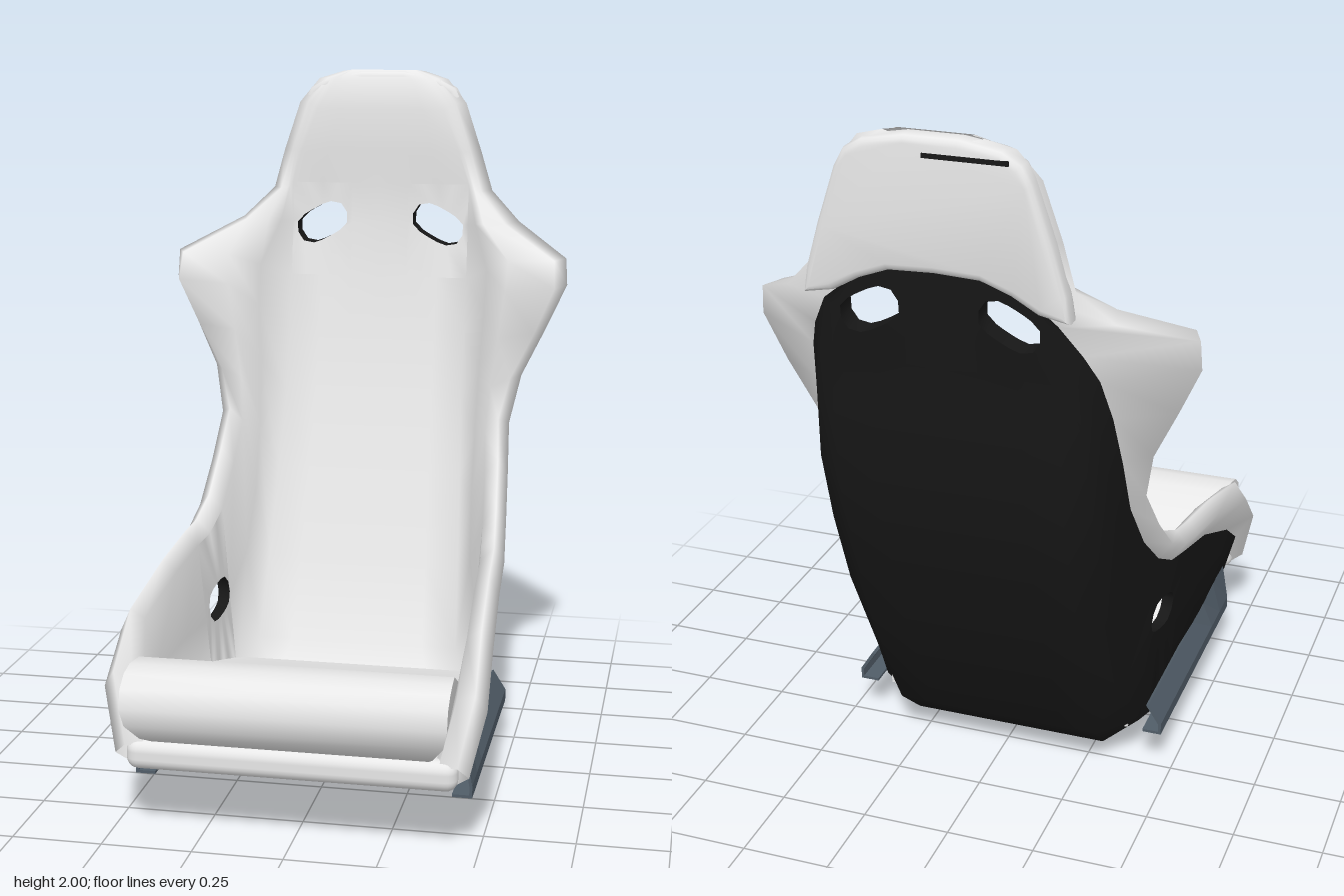
import * as THREE from 'three';
import { toCreasedNormals } from 'three/addons/utils/BufferGeometryUtils.js';
import { RoundedBoxGeometry } from 'three/addons/geometries/RoundedBoxGeometry.js';

const V = (x, y, z) => new THREE.Vector3(x, y, z);
const mix = (a, b, t) => a.clone().lerp(b, t);
const withX = (p, x) => p.setX(x);
const flip = (p) => V(-p.x, p.y, p.z);

// Stations run from the front lip, under the seat, up the back and over the headrest (x, y, z on the +x side)
const INNER = [ // corner between the inner floor or back and the side wall
  [.37, .25, .63], [.39, .25, .58], [.39, .25, .46], [.385, .21, .22], [.375, .17, .02],
  [.37, .15, -.10], [.36, .15, -.20], [.31, .26, -.29], [.30, .50, -.39], [.29, .76, -.48],
  [.28, 1.0, -.56], [.28, 1.2, -.61], [.28, 1.36, -.645], [.28, 1.525, -.67], [.28, 1.65, -.675],
  [.25, 1.75, -.668], [.2, 1.88, -.67], [.15, 1.97, -.69], [.1, 2, -.73]];
const RIM = [ // crest of the padded rim, shoulder wing and headrest edge
  [.45, .26, .68], [.49, .45, .64], [.485, .58, .49], [.47, .645, .22], [.46, .675, .02],
  [.45, .69, -.08], [.44, .74, -.19], [.43, .86, -.30], [.42, .97, -.375], [.45, 1.09, -.40],
  [.52, 1.23, -.40], [.58, 1.37, -.385], [.575, 1.45, -.42], [.41, 1.54, -.57], [.32, 1.63, -.675],
  [.285, 1.75, -.685], [.235, 1.9, -.69], [.175, 1.975, -.71], [.1, 2, -.74]];
const BORDER = [ // line where the padding meets the shell or the headrest back
  [.42, .19, .65], [.47, .33, .60], [.47, .42, .47], [.46, .525, .22], [.45, .57, .02],
  [.44, .59, -.08], [.43, .65, -.19], [.42, .76, -.31], [.42, .93, -.45], [.42, 1.1, -.53],
  [.41, 1.25, -.59], [.39, 1.37, -.64], [.36, 1.45, -.685], [.31, 1.54, -.73], [.2, 1.63, -.745],
  [.285, 1.75, -.75], [.235, 1.9, -.75], [.175, 1.97, -.75], [.1, 1.99, -.75]];
const OUTER = [ // lower and rear corner of the shell
  [.36, .20, .63], [.36, .20, .57], [.35, .17, .45], [.33, .11, .22], [.30, .04, .02],
  [.28, 0, -.10], [.29, .04, -.24], [.30, .14, -.35], [.31, .50, -.52], [.31, .76, -.615],
  [.31, 1.0, -.69], [.31, 1.22, -.705], [.30, 1.38, -.72], [.28, 1.525, -.735], [.19, 1.66, -.74]];
const RIM_WIDTH = [.05, .05, .04, .04, .04, .04, .04, .04, .04, .06, .11, .15, .14, .07, .02, .01, .01, .01, 0];
const ACROSS = [0, .32, .66, 1];
const WING_TOP = { 12: .27, 13: .65, 14: .6 }; // how far back the outer edge sits at the wing top

// Harness and lap belt openings: centre and size in the plane of axes u, v
const HOLES = [];
for (const s of [1, -1]) {
  HOLES.push({ s, u: 'x', v: 'y', d: 'z', c: [s * .185, 1.525], a: .085, b: .05, tilt: -s * .5, row: 13, pad: 2, shell: 2 });
  HOLES.push({ s, u: 'z', v: 'y', d: 'x', c: [-.11, .432], a: .085, b: .052, tilt: -.2, row: 5, pad: 4, shell: 5 });
}

function holePoint(h, angle, plane) {
  const f = angle - h.tilt;
  const r = (Math.abs(Math.cos(f) / h.a) ** 3 + Math.abs(Math.sin(f) / h.b) ** 3) ** (-1 / 3);
  const p = V(0, 0, 0), n = plane.normal;
  p[h.u] = h.c[0] + r * Math.cos(angle);
  p[h.v] = h.c[1] + r * Math.sin(angle);
  p[h.d] = (-plane.constant - n[h.u] * p[h.u] - n[h.v] * p[h.v]) / n[h.d];
  return p;
}

// Surface through rows of points, with openings cut out of 2 x 2 cell blocks
function gridSurface(rows, holes) {
  const cols = rows[0].length, pts = rows.flat().map((p) => p.clone()), index = [], planes = [];
  const at = (i, j) => i * cols + j;
  const quad = (a, b, c, d) => index.push(a, b, c, b, d, c);
  for (let i = 0; i < rows.length - 1; i++) {
    for (let j = 0; j < cols - 1; j++) {
      const cut = holes.some((h) => (i === h.row || i === h.row - 1) && (j === h.col || j === h.col - 1));
      if (!cut) quad(at(i, j), at(i, j + 1), at(i + 1, j), at(i + 1, j + 1));
    }
  }
  for (const h of holes) {
    const i = h.row, j = h.col;
    const plane = new THREE.Plane().setFromCoplanarPoints(rows[i][j - 1], rows[i][j + 1], rows[i + 1][j]);
    planes.push(plane);
    const block = [[-1, -1], [-1, 0], [-1, 1], [0, 1], [1, 1], [1, 0], [1, -1], [0, -1]].map(([a, b]) => at(i + a, j + b));
    const edge = [];
    block.forEach((k, m) => {
      edge.push(k, pts.length);
      pts.push(mix(pts[k], pts[block[(m + 1) % 8]], .5));
    });
    // Even angles round the opening, starting from the first corner of the block
    const corner = (k) => [Math.sign(pts[k][h.u] - h.c[0]), Math.sign(pts[k][h.v] - h.c[1])];
    const [u0, v0] = corner(block[0]), [u1, v1] = corner(block[2]);
    const turn = Math.sign(u0 * v1 - v0 * u1);
    const ring = edge.map((_, m) => {
      pts.push(holePoint(h, Math.atan2(v0, u0) + turn * m * Math.PI / 8, plane));
      return pts.length - 1;
    });
    edge.forEach((k, m) => {
      const n = (m + 1) % edge.length;
      quad(k, edge[n], ring[m], ring[n]);
    });
  }
  const geometry = new THREE.BufferGeometry().setFromPoints(pts);
  geometry.setIndex(index);
  geometry.computeVertexNormals();
  return { geometry, planes };
}

// Closed side profile (z, y) swept across x from -0.5 to 0.5
function sweepAcross(points) {
  const shape = new THREE.Shape(points.map(([z, y]) => new THREE.Vector2(z, y)));
  return new THREE.ExtrudeGeometry(shape, { depth: 1, bevelEnabled: false }).rotateY(-Math.PI / 2).translate(.5, 0, 0);
}

function moveVertices(geometry, rule) {
  const pos = geometry.attributes.position, p = V(0, 0, 0);
  for (let i = 0; i < pos.count; i++) {
    rule(p.fromBufferAttribute(pos, i));
    pos.setXYZ(i, p.x, p.y, p.z);
  }
  return geometry;
}

export function createModel() {
  const group = new THREE.Group();
  const material = (name, color) => Object.assign(
    new THREE.MeshStandardMaterial({ color, side: THREE.DoubleSide }), { name });
  const fabric = material('light grey fabric', 0xe8e8e8);
  const black = material('black shell', 0x171717);
  const steel = material('slate steel', 0x515d68);
  const add = (name, geometry, mat) => {
    const mesh = new THREE.Mesh(geometry, mat);
    mesh.name = name;
    group.add(mesh);
    return mesh;
  };

  // Cross-sections of the padding and of the shell
  const padRows = INNER.map((_, k) => {
    const [I, R, B] = [INNER, RIM, BORDER].map((t) => V(...t[k]));
    const N = withX(mix(R, I, .08), R.x - RIM_WIDTH[k]);
    const E = withX(mix(R, B, WING_TOP[k] ?? .4), R.x + .03);
    const half = [...ACROSS.map((t) => withX(I.clone(), I.x * t)), mix(I, N, .5), N, R, E, B];
    return [...half.slice(1).reverse().map(flip), ...half];
  });
  const shellRows = OUTER.map((_, k) => {
    const B = V(...BORDER[k]), O = V(...OUTER[k]), floor = k < 7;
    const W = withX(mix(O, B, floor ? .15 : .25), O.x + (B.x - O.x) * (floor ? .75 : .62));
    const half = [...ACROSS.map((t) => withX(O.clone(), O.x * t)), W, mix(W, B, .6), B];
    return [...half.slice(1).reverse(), ...half.map(flip)];
  });
  const pad = gridSurface(padRows, HOLES.map((h) => ({ ...h, col: 8 + h.s * h.pad })));
  const shell = gridSurface(shellRows, HOLES.map((h) => ({ ...h, col: 6 - h.s * h.shell })));
  add('padding', pad.geometry, fabric);
  add('shell', shell.geometry, black);

  // Walls of the belt openings
  HOLES.forEach((h, k) => {
    const rows = [pad.planes[k], shell.planes[k]].map((plane) =>
      Array.from({ length: 17 }, (_, m) => holePoint(h, (m + 2) / 8 * Math.PI, plane)));
    add('beltOpening', gridSurface(rows, []).geometry, black);
  });

  // Front lip
  add('frontLip', new RoundedBoxGeometry(.9, .085, .07, 3, .033).translate(0, .232, .655), fabric);

  // Back of the headrest, arched over the top of the shell
  const half = [[0, 1.65], [.12, 1.645], [.2, 1.615], [.27, 1.575], [.35, 1.56], [.34, 1.63], [.305, 1.75],
    [.255, 1.9], [.23, 1.945], [.18, 1.975], [.07, 1.995]];
  const outline = [...half, ...half.slice(1).reverse().map(([x, y]) => [-x, y])];
  const head = new THREE.ExtrudeGeometry(new THREE.Shape(outline.map((p) => new THREE.Vector2(...p))), {
    depth: .03, bevelThickness: .02, bevelSize: .02, bevelOffset: -.02, bevelSegments: 3 });
  add('headrestBack', toCreasedNormals(head.translate(0, 0, -.752), .8), fabric);
  add('headrestSlot', new THREE.BoxGeometry(.22, .012, .006).translate(-.09, 1.95, -.772), black);

  // Seat cushion with a rolled front, narrower at the rear
  const cushion = sweepAcross([[-.26, .12], [.6, .25], [.68, .275], [.73, .3], [.765, .345], [.775, .395],
    [.76, .445], [.72, .475], [.67, .487], [.6, .483], [.5, .44], [.3, .35], [-.26, .2]]);
  moveVertices(cushion, (p) => {
    p.x *= 2 * (.37 + .065 * Math.min(1, (p.z + .26) / .95));
    if (p.z > .55 && p.y < .36) p.x *= 1 - (.36 - p.y) * 1.6;
  });
  add('cushion', toCreasedNormals(cushion, .7), fabric);

  // Side mounting brackets, taller towards the front
  const profile = [[.415, .115], [.47, .115], [.47, .15], [.432, .21], [.424, .205], [.462, .147], [.462, .123], [.415, .123]];
  const bracket = new THREE.ExtrudeGeometry(new THREE.Shape(profile.map((p) => new THREE.Vector2(...p))), {
    depth: .78, steps: 8, bevelEnabled: false }).translate(0, 0, -.26);
  moveVertices(bracket, (p) => {
    if (p.y > .18 && p.z > .25) {
      p.y += (p.z - .25) * .26;
      p.x += (p.z - .25) * .06;
    }
  });
  bracket.computeVertexNormals();
  for (const s of [1, -1]) add(s > 0 ? 'leftBracket' : 'rightBracket', bracket, steel).scale.x = s;

  return group;
}
